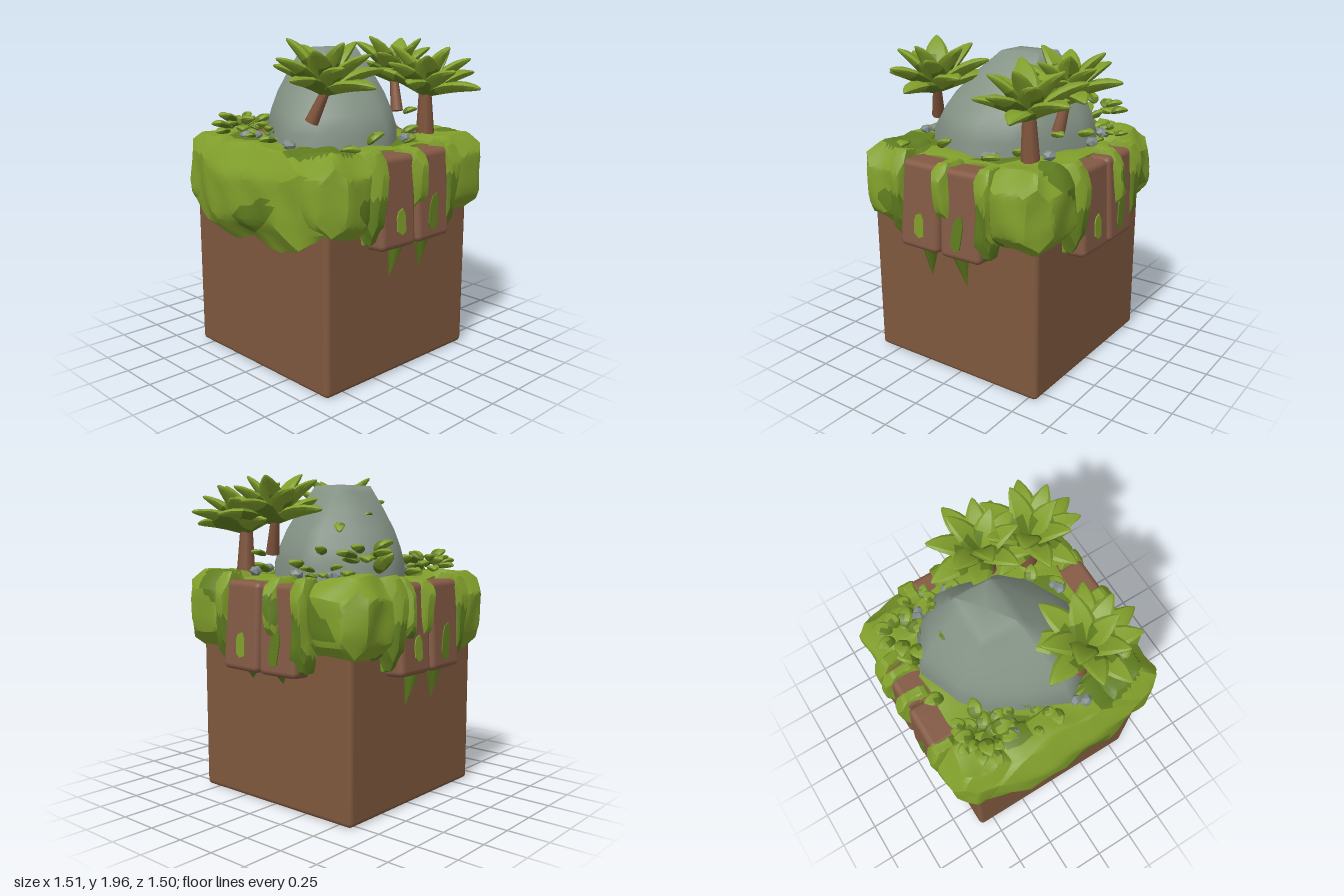
import * as THREE from 'three';
import { toCreasedNormals } from 'three/addons/utils/BufferGeometryUtils.js';
import { RoundedBoxGeometry } from 'three/addons/geometries/RoundedBoxGeometry.js';

const mat = (name, color) => Object.assign(new THREE.MeshStandardMaterial({ color }), { name });
const earth = mat('earth brown', 0x7f583e);
const clay = mat('clay brown', 0x845a45);
const bark = mat('bark brown', 0x80543c);
const stone = mat('stone grey', 0x859386);
const pebbleGrey = mat('pebble grey', 0x7f8b89);
const mossLight = mat('moss green', 0x809e2b);
const mossDark = mat('deep moss green', 0x5f7d1f);
const greens = [mossLight, mossDark];

function add(parent, name, geo, material, x = 0, y = 0, z = 0) {
  const m = new THREE.Mesh(geo, material);
  m.name = name;
  m.position.set(x, y, z);
  parent.add(m);
  return m;
}

// Move every vertex by a rule
function warp(geo, rule) {
  const p = geo.attributes.position, v = new THREE.Vector3();
  for (let i = 0; i < p.count; i++) {
    rule(v.fromBufferAttribute(p, i));
    p.setXYZ(i, v.x, v.y, v.z);
  }
  return geo;
}

// Sort triangles into two colour groups with a blotch rule
function twoTone(geo, isDark) {
  const p = geo.attributes.position, sets = [[], []];
  for (let i = 0; i < p.count; i += 3) {
    const mid = k => (p.getComponent(i, k) + p.getComponent(i + 1, k) + p.getComponent(i + 2, k)) / 3;
    sets[isDark(mid(0), mid(1), mid(2)) ? 1 : 0].push(i, i + 1, i + 2);
  }
  geo.setIndex([...sets[0], ...sets[1]]);
  geo.clearGroups();
  geo.addGroup(0, sets[0].length, 0);
  geo.addGroup(sets[0].length, sets[1].length, 1);
  return geo;
}

// Chamfered, slightly lumpy block of moss filling the given bounds
function mossLump(parent, name, [x0, x1], [y0, y1], [z0, z1], cut = 1.5, detail = 8) {
  const geo = warp(new THREE.IcosahedronGeometry(1, detail), v => {
    const a = Math.abs(v.x), b = Math.abs(v.y), c = Math.abs(v.z);
    v.divideScalar(Math.max(a, b, c, (a + b) / cut, (b + c) / cut, (a + c) / cut));
    const pinch = 1 + Math.min(0, v.y + 0.2) * 0.14;
    v.set((x0 + x1) / 2 + v.x * pinch * (x1 - x0) / 2, (y0 + y1) / 2 + v.y * (y1 - y0) / 2, (z0 + z1) / 2 + v.z * pinch * (z1 - z0) / 2);
    const n = 0.01 * Math.sin(v.x * 17 + v.z * 9) + 0.008 * Math.sin(v.z * 21 - v.x * 8 + v.y * 12);
    v.x += n;
    v.y += n * 0.8;
    v.z += 0.01 * Math.sin(v.x * 19 + v.y * 11);
  });
  const blotch = (x, y, z) => Math.sin(x * 11 + y * 5) + Math.sin(z * 10 - y * 7 + 1) + 0.6 * Math.sin(y * 19 + x * 6 - z * 5) > 0.9;
  return add(parent, name, twoTone(toCreasedNormals(geo, 0.4), blotch), greens);
}

// Pointed leaf of unit length along +z, folded at the midrib and bowed
function leafGeometry(width, thick, bow) {
  const geo = new THREE.SphereGeometry(0.5, 8, 9).rotateX(Math.PI / 2).translate(0, 0, 0.5);
  warp(geo, v => {
    const t = v.z;
    v.x *= width * (1 - 0.6 * t ** 5);
    v.y = v.y * thick + Math.abs(v.x) * 0.25 + bow * (t - t * t * 1.25);
  });
  return twoTone(toCreasedNormals(geo, 0.6), (x, y, z) => z < 0.25 || (x > 0.02 && z < 0.55));
}
const frond = leafGeometry(0.42, 0.17, 0.25);
const roundLeaf = leafGeometry(0.72, 0.34, 0.2);

function leaf(parent, geo, len, yaw, pitch, x = 0, y = 0, z = 0) {
  const m = add(parent, 'leaf', geo, greens, x, y, z);
  m.rotation.set(-pitch, yaw, 0, 'YXZ');
  m.scale.setScalar(len);
}

// Short trunk with fronds spiralling from spread to upright
function palm(parent, name, base, top, size, yaw, radius) {
  const g = new THREE.Group();
  g.name = name;
  const a = new THREE.Vector3(...base), b = new THREE.Vector3(...top);
  const trunk = add(g, 'trunk', new THREE.CylinderGeometry(radius * 0.65, radius, a.distanceTo(b) + 0.04, 8), bark);
  trunk.position.copy(a).lerp(b, 0.5);
  trunk.quaternion.setFromUnitVectors(new THREE.Vector3(0, 1, 0), b.clone().sub(a).normalize());
  const n = 14;
  for (let i = 0; i < n; i++)
    leaf(g, frond, size * (1 + 0.06 * Math.sin(i * 2.3)), yaw + i * 2.4, 0.22 + 0.95 * i / n, ...top);
  parent.add(g);
}

// Low cluster of round leaves
function bush(parent, x, y, z, n, size) {
  const g = new THREE.Group();
  g.name = 'bush';
  g.position.set(x, y, z);
  for (let i = 0; i < n; i++) {
    const r = 0.035 + 0.03 * (i % 3);
    leaf(g, roundLeaf, size * (0.85 + 0.25 * Math.sin(i * 3.1)), i * 2.4, 0.1 + 0.4 * i / n, r * Math.sin(i * 2.4), 0.07 * i / n, r * Math.cos(i * 2.4));
  }
  parent.add(g);
}

// Boulder lofted from its foot outline up to a small flat crown
function boulderGeometry() {
  const outline = [[.43, -.1], [.34, .18], [.19, .34], [0, .44], [-.2, .4], [-.42, .28], [-.52, .12], [-.42, -.1], [-.31, -.3], [-.17, -.42], [.1, -.52], [.31, -.42], [.45, -.22]];
  const rings = [[1.2, 1], [1.42, .98], [1.52, .86], [1.62, .69], [1.75, .38], [1.84, .13], [1.885, .01]];
  const clamp = THREE.MathUtils.clamp;
  const n = outline.length, pos = [], idx = [];
  for (const [y, s] of rings)
    for (const [x, z] of outline)
      pos.push(THREE.MathUtils.lerp(clamp(x, -0.1, 0.17), x, s), y, THREE.MathUtils.lerp(clamp(z, -0.2, 0), z, s));
  pos.push(0.04, 1.89, -0.1);
  for (let k = 0; k < rings.length; k++)
    for (let i = 0; i < n; i++) {
      const a = k * n + i, b = k * n + (i + 1) % n;
      if (k < rings.length - 1) idx.push(a, a + n, b, b, a + n, b + n);
      else idx.push(n * rings.length, b, a);
    }
  const geo = new THREE.BufferGeometry();
  geo.setAttribute('position', new THREE.Float32BufferAttribute(pos, 3));
  geo.setIndex(idx);
  geo.computeVertexNormals();
  return geo;
}

// Ragged flat moss patch
function patchGeometry(w, h) {
  const pts = [[-.5, -.3], [-.1, -.5], [.4, -.42], [.5, .2], [.3, .5], [-.2, .42], [-.42, .2]];
  const shape = new THREE.Shape(pts.map(([x, y]) => new THREE.Vector2(x * w, y * h)));
  return new THREE.ExtrudeGeometry(shape, { depth: 0.009, bevelEnabled: false });
}

// Pair of clay slabs with moss strips and hanging drips, facing +z
function slabSide(parent, name, yaw, drip, strips) {
  const g = new THREE.Group();
  g.name = name;
  g.position.x = -0.04;
  g.rotation.y = yaw;
  for (const s of [-1, 1]) {
    const slab = new THREE.Group();
    slab.name = 'slab';
    slab.position.set(s * 0.148, 1.067, 0.6);
    slab.rotation.set(-0.05, 0, s * 0.012);
    add(slab, 'slab block', new RoundedBoxGeometry(0.287, 0.525, 0.21, 3, 0.035), clay);
    const patch = add(slab, 'moss patch', patchGeometry(0.075, s > 0 ? 0.22 : 0.15), greens[s > 0 ? 1 : 0], -s * 0.01, s > 0 ? -0.1 : -0.11, 0.103);
    patch.rotation.z = -s * 0.12;
    g.add(slab);
    // drip leaning from the slab back to the cube
    const d = add(g, 'hanging moss', new THREE.ConeGeometry(0.055, drip + 0.03, 6).rotateX(Math.PI), mossDark, s * 0.12, 0.83 - drip / 2, 0.635);
    d.rotation.set(0.15, 0, s * 0.1);
    mossLump(g, 'moss strip', [s * 0.31 - 0.06, s * 0.31 + 0.06], [0.84, 1.37], [0.5, 0.73], 1.5, 5);
  }
  for (const u of strips) mossLump(g, 'middle moss strip', [u - 0.055, u + 0.055], [0.98, 1.36], [0.48, 0.74], 1.5, 5);
  parent.add(g);
}

export function createModel() {
  const model = new THREE.Group();
  model.name = 'mossy planter cube';

  // Earth cube and its turf
  add(model, 'earth cube', new RoundedBoxGeometry(1.2, 1.32, 1.2, 3, 0.03), earth, -0.04, 0.66, 0);
  mossLump(model, 'turf', [-0.6, 0.52], [1.2, 1.34], [-0.53, 0.53], 1.9);

  // Moss on the corners and the whole left-hand wall
  mossLump(model, 'front right moss', [0.22, 0.66], [0.89, 1.38], [0.26, 0.71]);
  mossLump(model, 'back right moss', [0.2, 0.635], [0.89, 1.38], [-0.7, -0.26]);
  for (const z of [[0.26, 0.7], [-0.71, -0.26]]) mossLump(model, 'left corner moss', [-0.69, -0.3], [0.87, 1.37], z);
  mossLump(model, 'moss wall', [-0.75, -0.35], [0.77, 1.36], [-0.64, 0.64], 1.45);

  // Slab pairs on three sides
  slabSide(model, 'front slabs', 0, 0.2, [0.02]);
  slabSide(model, 'side slabs', Math.PI / 2, 0.06, [0.1]);
  slabSide(model, 'back slabs', Math.PI, 0.2, [-0.04, -0.22]);

  add(model, 'boulder', boulderGeometry(), stone);

  // Palms
  palm(model, 'left palm', [-0.41, 1.51, 0.24], [-0.37, 1.65, 0.29], 0.36, 0.15, 0.04);
  palm(model, 'front palm', [0.38, 1.33, 0.4], [0.37, 1.6, 0.4], 0.36, 0.3, 0.06);
  palm(model, 'side palm', [0.4, 1.5, 0.14], [0.42, 1.66, 0.1], 0.34, 0.85, 0.04);

  // Bushes and scattered leaves
  bush(model, -0.42, 1.37, -0.42, 16, 0.13);
  bush(model, 0.32, 1.45, -0.49, 8, 0.14);
  bush(model, -0.44, 1.36, -0.14, 6, 0.09);
  bush(model, 0.46, 1.36, -0.3, 6, 0.1);
  for (const [x, y, z, len, yaw, pitch] of [
    [-0.2, 1.37, 0.47, 0.12, 1.2, 0.6], [0.1, 1.35, 0.48, 0.12, 1.8, 0.2], [-0.45, 1.36, 0.5, 0.12, 0.5, 0.2],
    [0.24, 1.36, 0.33, 0.12, 1, 0.5], [0.17, 1.38, -0.48, 0.17, 2.9, 0.8], [0.38, 1.48, -0.24, 0.1, 2, 0.6],
    [0.27, 1.66, -0.27, 0.09, 2.3, -0.5], [0.06, 1.71, -0.34, 0.07, 1.4, 0], [0.38, 1.4, -0.1, 0.13, 1.5, 0.4],
    [0.4, 1.47, 0.2, 0.1, 1.2, 0.3], [0.34, 1.36, -0.4, 0.12, 2.2, 0.3],
    [-0.1, 1.36, -0.48, 0.12, 3, 0.3], [-0.5, 1.37, 0.02, 0.11, 4.5, 0.2]]) leaf(model, roundLeaf, len, yaw, pitch, x, y, z);

  // Pebbles round the foot of the boulder
  const pebble = new THREE.IcosahedronGeometry(1, 0);
  [[-.52, .15], [-.55, .2], [-.44, -.22], [-.5, -.26], [-.4, -.3], [.4, -.36], [.44, -.34], [.38, -.42], [.12, .46], [.16, .44], [.47, -.12], [-.36, -.36], [.42, .27]].forEach(([x, z], i) => {
    const r = 0.034 + 0.008 * Math.sin(i * 2.7);
    const m = add(model, 'pebble', pebble, pebbleGrey, x, 1.375, z);
    m.scale.set(r, r * 0.8, r * 1.1);
    m.rotation.y = i;
  });
  return model;
}
